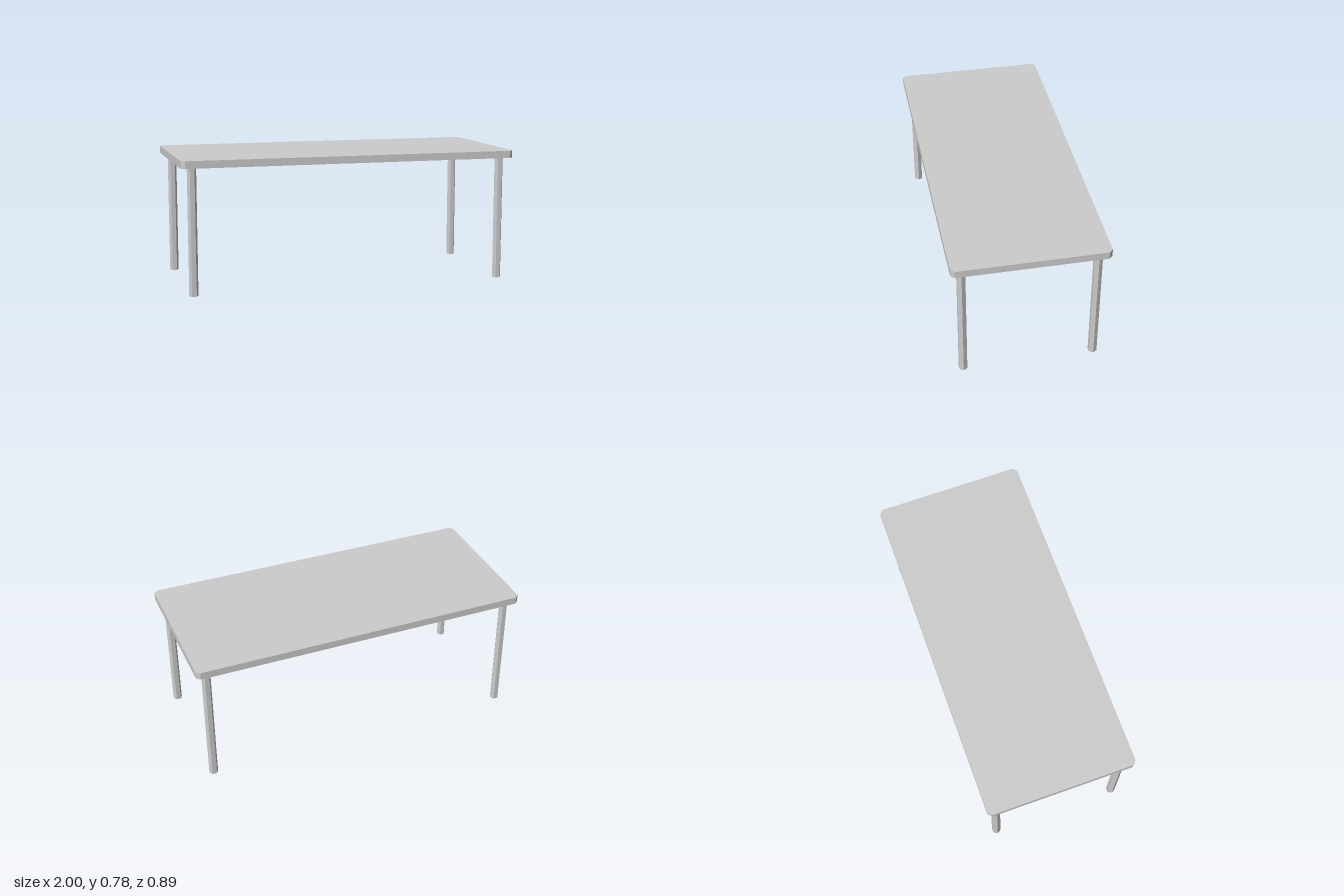
import * as THREE from 'three';

export function createModel() {
  const table = new THREE.Group();
  table.name = 'table';
  const material = new THREE.MeshStandardMaterial({ color: 0xcccccc, flatShading: true });

  const halfX = 1, halfZ = 0.443, cut = 0.022;
  const topY = 0.78, underY = 0.737;

  // Tabletop: slab with clipped corners
  const outline = new THREE.Shape([
    [halfX, -halfZ + cut], [halfX, halfZ - cut], [halfX - cut, halfZ], [-halfX + cut, halfZ],
    [-halfX, halfZ - cut], [-halfX, -halfZ + cut], [-halfX + cut, -halfZ], [halfX - cut, -halfZ],
  ].map(([x, z]) => new THREE.Vector2(x, z)));
  const slab = new THREE.ExtrudeGeometry(outline, { depth: topY - underY, bevelEnabled: false });
  slab.rotateX(-Math.PI / 2);
  const top = new THREE.Mesh(slab, material);
  top.name = 'tabletop';
  top.position.y = underY;
  table.add(top);

  // Legs: hexagonal posts with an edge pointing along x
  const post = new THREE.CylinderGeometry(0.0265, 0.0265, underY, 6);
  post.rotateY(Math.PI / 2);
  for (const [side, x] of [['Left', 0.932], ['Right', -0.932]]) {
    for (const [end, z] of [['front', 0.379], ['back', -0.379]]) {
      const leg = new THREE.Mesh(post, material);
      leg.name = `${end}${side}Leg`;
      leg.position.set(x, underY / 2, z);
      table.add(leg);
    }
  }
  return table;
}
